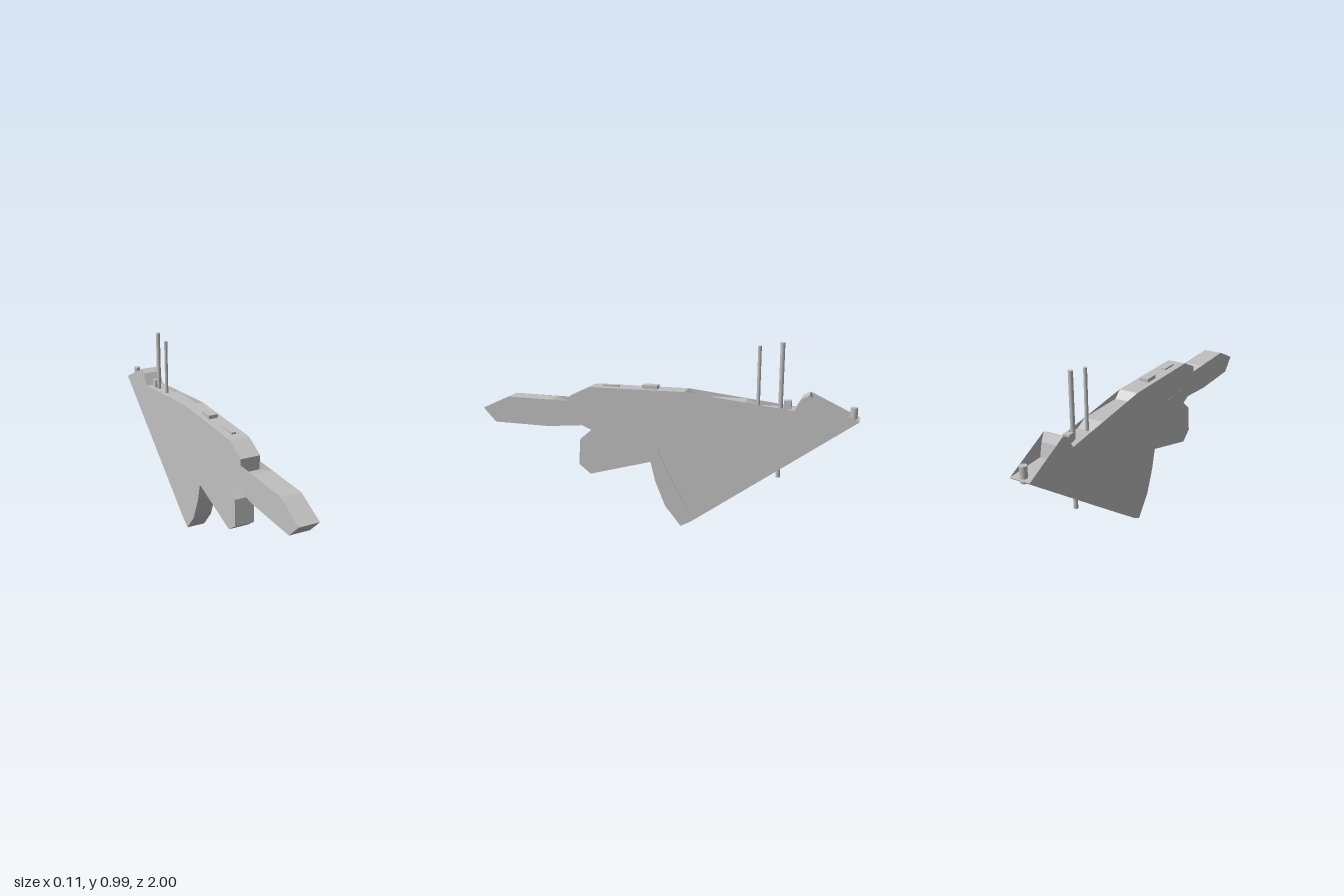
import * as THREE from 'three';

export function createModel() {
  const model = new THREE.Group();
  const grey = new THREE.MeshStandardMaterial({ color: 0xc0c0c0, side: THREE.DoubleSide });
  grey.name = 'plain grey';
  const RIGHT = -0.0535, LEFT = 0.05, MID = (RIGHT + LEFT) / 2;

  const add = (name, geometry, x = 0, y = 0, z = 0) => {
    const mesh = new THREE.Mesh(geometry, grey);
    mesh.name = name;
    mesh.position.set(x, y, z);
    model.add(mesh);
    return mesh;
  };

  // Outlines are [z, y] points, starting at the tail and running forward over the top.
  const nose = [[0.38, 0.727], [0.49, 0.675]];
  const tip = [[0.85, 0.65], [1, 0.58], [0.93, 0.505], [0.62, 0.5], [0.43, 0.517],
    [0.375, 0.495], [0.44, 0.44], [0.45, 0.3], [0.385, 0.25]];
  const keel = [[0.05, 0.343], [0.025, 0.24], [-0.03, 0.105], [-0.115, 0], [-0.17, 0.03]];
  const sideOutline = [[-1, 0.625], [-0.755, 0.743], [-0.72, 0.725], [-0.685, 0.662],
    [-0.13, 0.727], ...nose, [0.49, 0.645], ...tip, ...keel];
  // The edge band dips between the two side walls.
  const bandOutline = [[-1, 0.627], [-0.79, 0.632], [-0.775, 0.7], [-0.755, 0.743], [-0.72, 0.725],
    [-0.685, 0.66], [-0.5, 0.66], [-0.44, 0.69], [-0.17, 0.69], [-0.13, 0.727], ...nose,
    [0.485, 0.6], [0.6, 0.645], ...tip, [0.31, 0.47], [0.1, 0.5], ...keel,
    [-0.3, 0.45], [-0.42, 0.58], [-0.96, 0.605]];

  // Side walls
  const shape = new THREE.Shape(sideOutline.map(([z, y]) => new THREE.Vector2(z, y)));
  const wall = new THREE.ShapeGeometry(shape).rotateY(-Math.PI / 2);
  add('rightWall', wall, RIGHT);
  const leftWall = wall.clone();
  leftWall.setIndex(Array.from(wall.index.array).reverse());
  leftWall.computeVertexNormals();
  add('leftWall', leftWall, LEFT);

  // Edge band joining the walls
  const corners = [];
  bandOutline.forEach(([z, y], i) => {
    const [z2, y2] = bandOutline[(i + 1) % bandOutline.length];
    const a = [RIGHT, y, z], b = [RIGHT, y2, z2], c = [LEFT, y2, z2], d = [LEFT, y, z];
    corners.push(...a, ...b, ...c, ...a, ...c, ...d);
  });
  const band = new THREE.BufferGeometry();
  band.setAttribute('position', new THREE.Float32BufferAttribute(corners, 3));
  band.computeVertexNormals();
  add('edgeBand', band);

  // Curved raised strip on the left side of the lower fin
  const strip = new THREE.Shape();
  strip.moveTo(0.042, 0.39);
  strip.quadraticCurveTo(0.0, 0.21, -0.105, 0.075);
  strip.lineTo(-0.155, 0.11);
  strip.quadraticCurveTo(-0.055, 0.24, 0.012, 0.425);
  strip.closePath();
  const stripGeometry = new THREE.ExtrudeGeometry(strip, { depth: 0.0035, bevelEnabled: false, curveSegments: 6 });
  add('finStrip', stripGeometry.rotateY(-Math.PI / 2), LEFT + 0.0035);

  // Flush side panel, passing through the body
  add('sidePanel', new THREE.BoxGeometry(LEFT - RIGHT + 0.001, 0.05, 0.27), MID, 0.555, 0.265);

  // Blocks on the top
  const blocks = [
    ['frontBlock', 0.025, 0.02, 0.09, 0.726, 0.277],
    ['middleBlock', 0.05, 0.03, 0.08, 0.731, 0.06],
    ['rearBlock', 0.034, 0.05, 0.036, 0.678, -0.648],
  ];
  for (const [name, w, h, d, y, z] of blocks) add(name, new THREE.BoxGeometry(w, h, d), MID, y, z);

  // Upright rods
  const rods = [
    ['thinRod', 0.009, 0.65, 0.97, -0.5],
    ['tallRod', 0.0115, 0.3, 0.99, -0.612],
    ['tailPeg', 0.018, 0.605, 0.685, -0.97],
  ];
  for (const [name, r, low, high, z] of rods) {
    add(name, new THREE.CylinderGeometry(r, r, high - low, 12), MID, (low + high) / 2, z);
  }
  return model;
}
